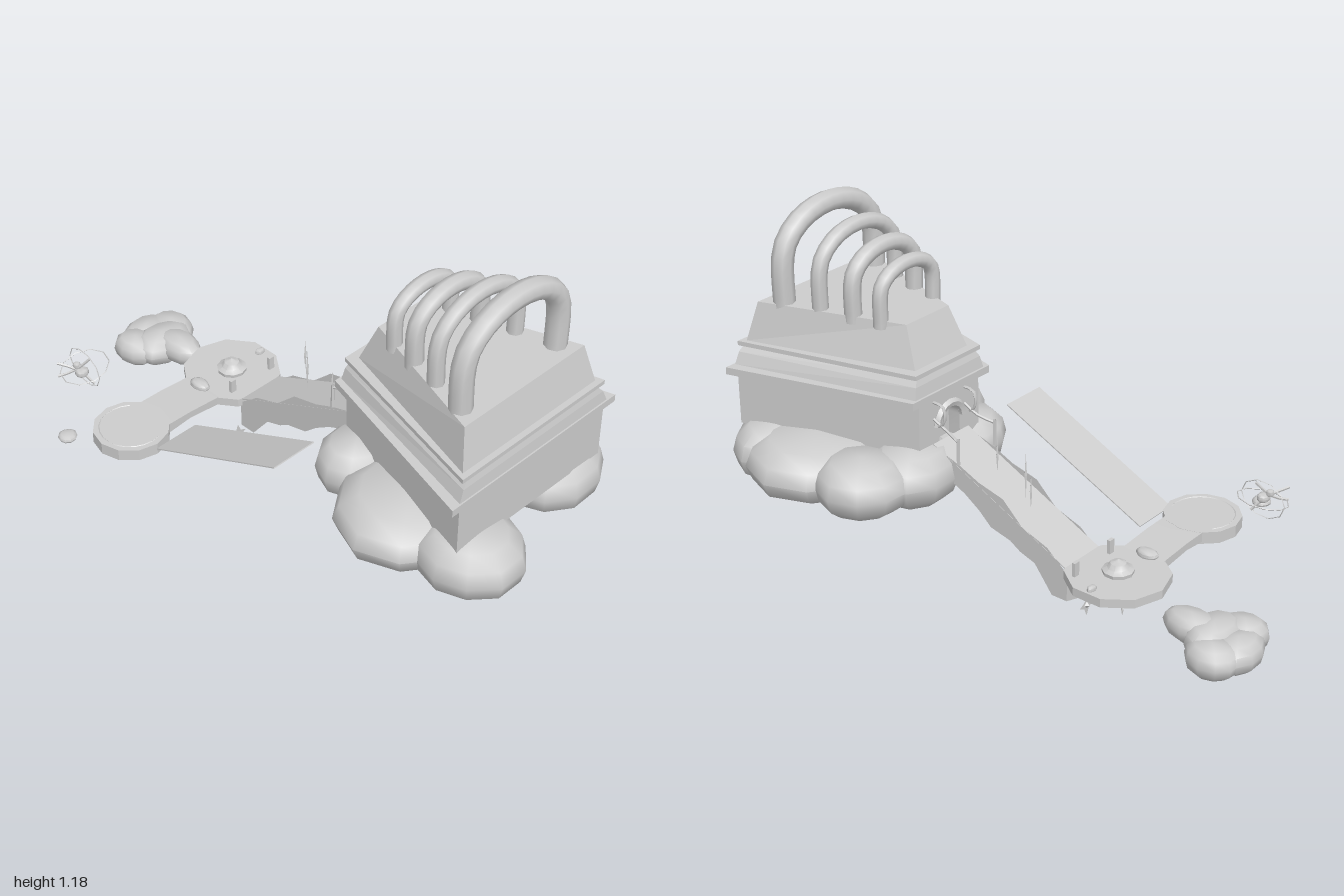
import * as THREE from 'three';
import { toCreasedNormals } from 'three/addons/utils/BufferGeometryUtils.js';

const stone = new THREE.MeshStandardMaterial({ color: 0xcccccc, side: THREE.DoubleSide });
stone.name = 'paleStone';
const CX = 0.085; // axis of the hall, ramp and fountain

export function createModel() {
  const root = new THREE.Group();
  root.name = 'cloudHall';
  const V = (x, y, z) => new THREE.Vector3(x, y, z);

  function add(name, geo, x = 0, y = 0, z = 0, crease = 0.6) {
    const m = new THREE.Mesh(crease ? toCreasedNormals(geo, crease) : geo, stone);
    m.name = name;
    m.position.set(x, y, z);
    root.add(m);
    return m;
  }
  function tube(name, pts, r, sides = 5) {
    const curve = new THREE.CatmullRomCurve3(pts, false, 'centripetal');
    return add(name, new THREE.TubeGeometry(curve, (pts.length - 1) * 2, r, sides), 0, 0, 0, 0.9);
  }
  const polygon = (pts) => new THREE.Shape(pts.map(([x, y]) => new THREE.Vector2(x, y)));

  // Cloud puff: squarish low-poly ellipsoid
  function puff(name, x, y, z, rx, ry, rz, turn = 0) {
    const g = new THREE.SphereGeometry(1, 10, 6);
    const p = g.attributes.position;
    for (let i = 0; i < p.count; i++) {
      const h = p.getY(i), ring = Math.hypot(p.getX(i), p.getZ(i));
      const k = ring > 1e-6 ? Math.pow(ring, 0.62) / ring : 0;
      const a = Math.atan2(p.getZ(i), p.getX(i));
      const wobble = 1 - 0.06 * (1 - Math.cos(3 * a + turn)) / 2;
      p.setXYZ(i, p.getX(i) * k * rx * wobble, h * ry, p.getZ(i) * k * rz * wobble);
    }
    g.computeVertexNormals();
    add(name, g, x, y, z, 0.9);
  }

  // Main cloud under the hall
  [
    [-0.14, 0.365, 0.57, 0.245, 0.1, 0.25, 3.1], [-0.14, 0.365, 0.825, 0.175, 0.102, 0.18, 1.5],
    [0.34, 0.365, 0.58, 0.245, 0.1, 0.25, 0], [0.33, 0.362, 0.755, 0.19, 0.1, 0.15, 1],
    [0.38, 0.37, 0.34, 0.16, 0.095, 0.165, 0], [0.21, 0.37, 0.27, 0.17, 0.1, 0.155, 2],
    [-0.09, 0.37, 0.3, 0.14, 0.095, 0.135, 3], [0.09, 0.36, 0.48, 0.24, 0.085, 0.25, 1],
  ].forEach((c) => puff('mainCloud', ...c));

  // Small cloud behind the platform
  [
    [0.005, 0.12, -0.885, 0.072, 0.052, 0.085, 1], [0.09, 0.11, -0.92, 0.1, 0.055, 0.08, 2],
    [0.17, 0.11, -0.88, 0.077, 0.056, 0.095, 0], [0.085, 0.125, -0.83, 0.12, 0.057, 0.085, 0],
    [0.1, 0.14, -0.755, 0.065, 0.048, 0.1, 1],
  ].forEach((c) => puff('smallCloud', ...c));

  // Hall walls: tapered plan, wide in front and narrow behind
  // [height, front half width, front z, back half width, back z]
  function loft(name, rows, openBack = false) {
    const pos = [];
    const ring = ([y, wf, zf, wb, zb]) => [
      [CX + wb, y, zb], [CX - wb, y, zb], [CX - wf, y, zf], [CX + wf, y, zf]];
    const quad = (a, b, c, d) => pos.push(...a, ...b, ...c, ...a, ...c, ...d);
    for (let r = 1; r < rows.length; r++) {
      const A = ring(rows[r - 1]), B = ring(rows[r]);
      for (let i = openBack ? 1 : 0; i < 4; i++) {
        const j = (i + 1) % 4;
        quad(A[i], A[j], B[j], B[i]);
      }
    }
    const lo = ring(rows[0]), hi = ring(rows[rows.length - 1]);
    quad(lo[0], lo[3], lo[2], lo[1]);
    quad(hi[0], hi[1], hi[2], hi[3]);
    const g = new THREE.BufferGeometry();
    g.setAttribute('position', new THREE.Float32BufferAttribute(pos, 3));
    g.computeVertexNormals();
    add(name, g, 0, 0, 0, 0);
  }
  loft('hallWall', [[0.435, 0.33, 0.855, 0.145, 0.225], [0.625, 0.33, 0.855, 0.145, 0.225]], true);
  loft('lowerCornice', [[0.625, 0.372, 0.865, 0.185, 0.212], [0.65, 0.372, 0.865, 0.185, 0.212],
    [0.65, 0.335, 0.86, 0.165, 0.22], [0.69, 0.318, 0.856, 0.155, 0.226], [0.715, 0.295, 0.85, 0.14, 0.235]]);
  loft('upperCornice', [[0.715, 0.322, 0.855, 0.155, 0.225], [0.73, 0.322, 0.855, 0.155, 0.225]]);
  loft('roof', [[0.73, 0.3, 0.835, 0.125, 0.255], [0.865, 0.268, 0.805, 0.1, 0.31]]);

  // Back wall with an arched doorway, niche and hood
  const wall = polygon([[-0.145, 0.435], [0.145, 0.435], [0.145, 0.625], [-0.145, 0.625]]);
  const door = new THREE.Path();
  door.moveTo(-0.05, 0.44);
  door.lineTo(-0.05, 0.52);
  door.absarc(0, 0.52, 0.05, Math.PI, 0, true);
  door.lineTo(0.05, 0.44);
  wall.holes.push(door);
  add('doorWall', new THREE.ExtrudeGeometry(wall, { depth: 0.05, bevelEnabled: false, curveSegments: 8 }), CX, 0, 0.225);
  add('doorBack', new THREE.PlaneGeometry(0.13, 0.17), CX, 0.52, 0.272);
  add('doorHood', new THREE.TorusGeometry(0.062, 0.014, 5, 8, Math.PI), CX, 0.52, 0.222, 0.9);

  // Four roof arches, shrinking towards the back
  [[0.74, 0.248, 1.185, 1.0, 0.037], [0.612, 0.203, 1.13, 0.98, 0.027],
    [0.498, 0.173, 1.09, 0.965, 0.029], [0.398, 0.148, 1.05, 0.95, 0.025]].forEach(([z, half, top, shoulder, r]) => {
    const rx = half - r, ry = top - r - shoulder;
    const pts = [V(CX - rx, 0.84, z)];
    for (let i = 0; i <= 8; i++) {
      const a = Math.PI * (1 - i / 8);
      pts.push(V(CX + rx * Math.cos(a), shoulder + ry * Math.sin(a), z));
    }
    pts.push(V(CX + rx, 0.84, z));
    tube('roofArch', pts, r, 8);
  });

  // Railings either side of the door
  for (const s of [-1, 1]) {
    const x = CX + s * 0.075;
    tube('railPost', [V(x + s * 0.015, 0.43, 0.11), V(x + s * 0.015, 0.52, 0.11)], 0.006);
    tube('rail', [V(x + s * 0.015, 0.51, 0.11), V(x, 0.525, 0.17), V(x, 0.55, 0.225)], 0.005);
    tube('doorBracket', [V(x, 0.61, 0.225), V(x, 0.605, 0.185), V(x, 0.55, 0.18), V(x, 0.53, 0.205)], 0.005);
  }

  // Two flat sloping ramps
  const run = Math.hypot(0.56, 0.265);
  for (const [name, x] of [['mainRamp', CX], ['sideRamp', -0.286]]) {
    const plank = add(name, new THREE.BoxGeometry(0.172, 0.004, run), x, 0.332, -0.06);
    plank.rotation.x = -Math.atan2(0.265, 0.56);
  }

  // Jagged curtains hanging along both edges of the main ramp, and its end plate
  const curtain = new THREE.ShapeGeometry(polygon([[0.22, 0.46], [0.11, 0.425], [0.03, 0.39], [-0.07, 0.365],
    [-0.15, 0.29], [-0.25, 0.255], [-0.33, 0.19], [-0.33, 0.09], [-0.27, 0.09], [-0.2, 0.18], [-0.14, 0.2],
    [-0.1, 0.225], [-0.02, 0.245], [0.03, 0.29], [0.09, 0.33], [0.22, 0.39]]));
  curtain.rotateY(-Math.PI / 2); // profile runs along z
  for (const x of [0, 0.17]) add('rampCurtain', curtain, x, 0, 0, 0);
  add('rampEnd', new THREE.ShapeGeometry(polygon([[0, 0.19], [0, 0.09], [CX, 0.067], [0.17, 0.09], [0.17, 0.19]])), 0, 0, -0.33, 0);

  // Fountain platform, bridge and round landing
  const disc = (name, rt, rb, h, n, x, y, z) => add(name, new THREE.CylinderGeometry(rt, rb, h, n), x, y, z, 0.3);
  disc('platform', 0.17, 0.17, 0.03, 10, CX, 0.195, -0.465);
  disc('platformBase', 0.17, 0.12, 0.028, 10, CX, 0.167, -0.465);
  const bridge = new THREE.ExtrudeGeometry(polygon([[-0.29, 0.185], [-0.18, 0.195], [-0.05, 0.18],
    [-0.05, 0.21], [-0.18, 0.22], [-0.29, 0.222]]), { depth: 0.155, bevelEnabled: false });
  add('bridge', bridge, 0, 0, -0.54, 0.3);
  disc('landing', 0.13, 0.13, 0.042, 12, -0.37, 0.201, -0.468);
  const rim = add('landingRim', new THREE.TorusGeometry(0.108, 0.002, 4, 14, Math.PI * 1.3), -0.37, 0.222, -0.468);
  rim.rotation.set(-Math.PI / 2, 0, 0.9);

  // Fountain, rocks and gate posts
  const bowl = [[0, 0.205], [0.05, 0.205], [0.052, 0.222], [0.036, 0.23], [0.026, 0.245], [0.012, 0.25], [0, 0.258]];
  add('fountain', new THREE.LatheGeometry(bowl.map(([x, y]) => new THREE.Vector2(x, y)), 10), CX, 0, -0.465);
  puff('rock', -0.055, 0.215, -0.475, 0.028, 0.016, 0.042, 1);
  puff('rock', 0.22, 0.213, -0.465, 0.02, 0.012, 0.014, 1);
  for (const x of [0.005, 0.185]) {
    add('gatePost', new THREE.BoxGeometry(0.022, 0.05, 0.012), x, 0.233, -0.375);
  }

  // Floating slivers: long thin diamonds
  for (const [x, y, z, h] of [[0.065, 0.44, 0.04, 0.06], [0.08, 0.42, -0.09, 0.08],
    [0.14, 0.41, -0.16, 0.06], [CX, 0.08, -0.485, 0.022]]) {
    add('sliver', new THREE.OctahedronGeometry(1).scale(0.006, h, 0.005), x, y, z, 0);
  }

  // Four-pointed stars hanging by the ramp end
  const starShape = new THREE.ShapeGeometry(polygon([[0, 0.04], [0.012, 0.012], [0.035, 0], [0.012, -0.012],
    [0, -0.04], [-0.012, -0.012], [-0.035, 0], [-0.012, 0.012]]));
  for (const x of [-0.003, CX]) {
    add('star', starShape, x, 0.042, -0.345, 0);
    add('starHeart', new THREE.OctahedronGeometry(0.012), x, 0.042, -0.345, 0);
  }

  // Hovering wire cage with a small core
  for (const [tilt, turn, squash] of [[1.5, 0.2, 1], [0, 1.5, 0.75]]) {
    const ring = add('cageRing', new THREE.TorusGeometry(0.085, 0.002, 4, 10), -0.375, 0.35, -0.69);
    ring.rotation.set(tilt, turn, 0);
    ring.scale.y = squash;
  }
  puff('cageCore', -0.395, 0.345, -0.68, 0.026, 0.015, 0.022, 0);
  puff('cageCore', -0.4, 0.365, -0.7, 0.014, 0.012, 0.014, 0);
  tube('cageStrut', [V(-0.455, 0.33, -0.735), V(-0.41, 0.35, -0.7), V(-0.375, 0.4, -0.66)], 0.005);
  tube('cageStrut', [V(-0.45, 0.38, -0.74), V(-0.4, 0.35, -0.69), V(-0.37, 0.3, -0.65)], 0.005);

  // Stray stepping stone
  puff('steppingStone', -0.555, 0.224, -0.575, 0.034, 0.013, 0.033, 0);
  return root;
}
